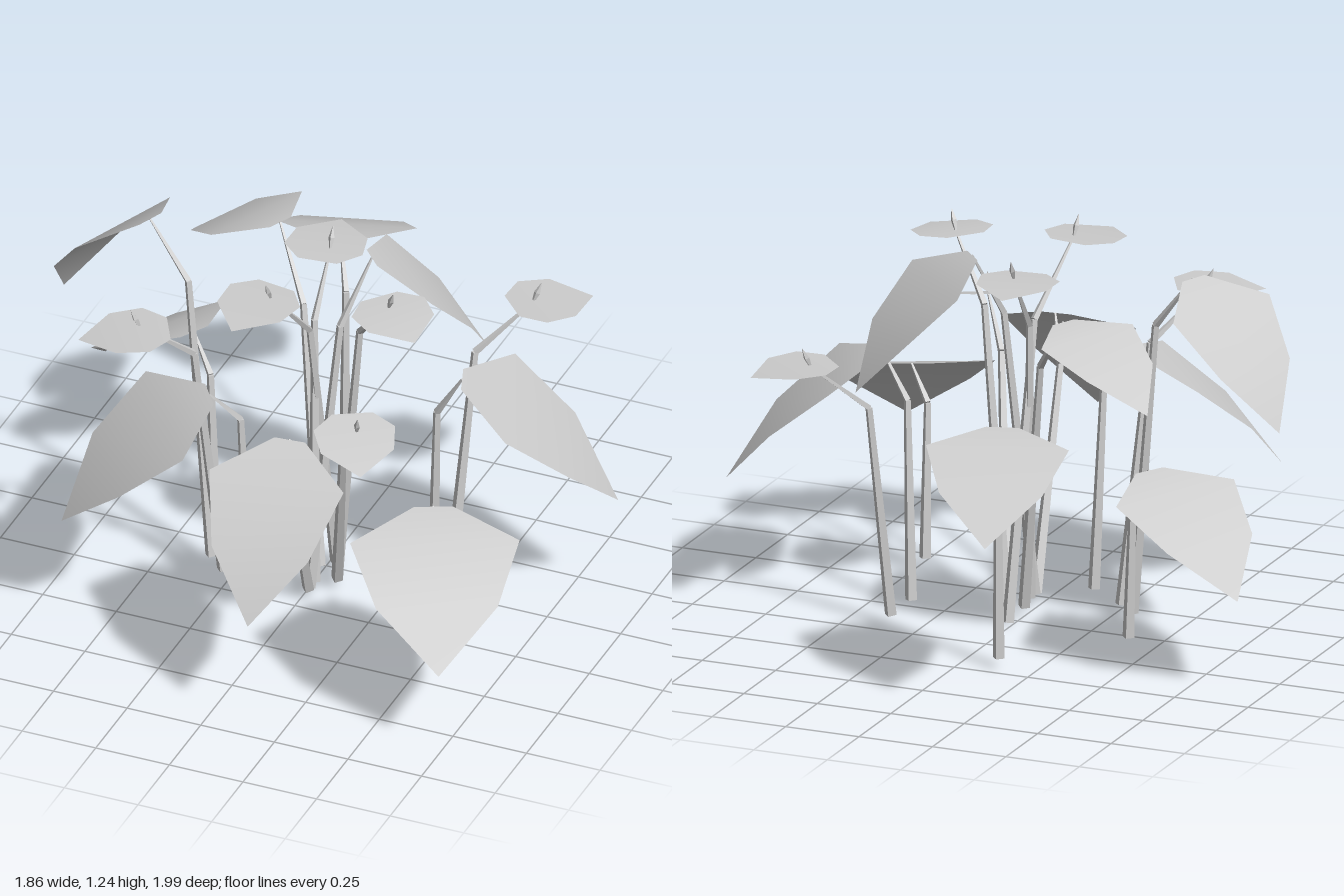
import * as THREE from 'three';

const stemMaterial = new THREE.MeshStandardMaterial({ color: 0xcccccc, flatShading: true });
const bladeMaterial = new THREE.MeshStandardMaterial({ color: 0xcccccc, side: THREE.DoubleSide });
const vec = (p) => new THREE.Vector3(...p);

// Blade outline rows: distance along the chord, bulge above it, half width (share of the widest)
const LEAF_ROWS = [[0, 0, 0.23], [0.24, 0.077, 1], [0.63, 0.082, 0.72]];
const SPATHE_ROWS = [[0, 0, 0.5], [0.25, 0.02, 1], [0.62, 0.03, 0.9]];

// Seven-sided blade, drooping from its base to its tip
function makeBlade(name, base, tip, halfWidth, rows) {
  const chord = tip.clone().sub(base);
  const length = chord.length();
  const side = chord.clone().cross(new THREE.Vector3(0, 1, 0)).normalize();
  const normal = side.clone().cross(chord).normalize();
  const points = [];
  for (const [s, bulge, width] of rows) {
    for (const sign of [-1, 1]) {
      points.push(base.clone().addScaledVector(chord, s)
        .addScaledVector(normal, bulge * length)
        .addScaledVector(side, sign * width * halfWidth));
    }
  }
  points.push(tip);
  const geometry = new THREE.BufferGeometry().setFromPoints(points);
  geometry.setIndex([0, 1, 3, 0, 3, 2, 2, 3, 5, 2, 5, 4, 4, 5, 6]);
  geometry.computeVertexNormals();
  const mesh = new THREE.Mesh(geometry, bladeMaterial);
  mesh.name = name;
  return mesh;
}

// Tapered four-sided rod between two points
function makeRod(name, from, to, r0, r1) {
  const dir = to.clone().sub(from);
  const mesh = new THREE.Mesh(new THREE.CylinderGeometry(r1, r0, dir.length(), 4), stemMaterial);
  mesh.position.copy(from).addScaledVector(dir, 0.5);
  mesh.quaternion.setFromUnitVectors(new THREE.Vector3(0, 1, 0), dir.normalize());
  mesh.name = name;
  return mesh;
}

// Stalk with one bend: thick lower part, thin neck
function addStem(group, root, knee, end) {
  group.add(makeRod('stemLower', root, knee, 0.02, 0.012));
  group.add(makeRod('stemNeck', knee, end, 0.012, 0.004));
}

// Leaves: stem root, stem bend, blade base, blade tip, half width
const LEAVES = [
  [[-0.13, 0.03, -0.45], [-0.13, 0.71, -0.46], [-0.19, 0.83, -0.56], [-0.32, 0.58, -1.0], 0.225],
  [[-0.42, 0.03, -0.1], [-0.44, 0.53, -0.11], [-0.53, 0.62, -0.19], [-0.93, 0.31, -0.42], 0.23],
  [[0, 0.03, 0.05], [-0.12, 0.88, -0.1], [-0.25, 1.08, -0.22], [-0.61, 0.87, -0.39], 0.19],
  [[-0.335, 0.03, 0.13], [-0.43, 1.0, 0.09], [-0.57, 1.18, 0.065], [-0.925, 0.76, -0.08], 0.21],
  [[-0.13, 0.03, 0.3], [-0.15, 0.7, 0.33], [-0.235, 0.8, 0.38], [-0.62, 0.395, 0.655], 0.265],
  [[0.02, 0.03, 0.19], [0.05, 0.7, 0.45], [0.115, 0.825, 0.56], [0.155, 0.395, 0.99], 0.22],
  [[0.475, 0.03, 0.37], [0.48, 0.53, 0.4], [0.56, 0.63, 0.46], [0.765, 0.31, 0.9], 0.265],
  [[0.35, 0.03, -0.03], [0.38, 0.67, 0.01], [0.47, 0.82, 0.02], [0.93, 0.39, -0.145], 0.26],
  [[0.02, 0.03, 0.18], [0.09, 0.97, 0.1], [0.155, 1.18, 0], [0.44, 0.77, -0.26], 0.215],
];

// Flowers: stem root, stem bend, spadix foot, spathe base, spathe tip
const FLOWERS = [
  [[0.02, 0.03, 0.14], [-0.01, 0.95, 0.07], [-0.01, 1.14, -0.055], [-0.02, 1.14, 0.025], [-0.05, 1.13, -0.24]],
  [[0.02, 0, -0.03], [0, 0.95, 0.13], [-0.05, 1.17, 0.325], [-0.06, 1.175, 0.255], [-0.1, 1.15, 0.52]],
  [[0.06, 0.03, 0.05], [0.165, 0.98, 0.12], [0.31, 1.17, 0.23], [0.26, 1.175, 0.19], [0.45, 1.145, 0.35]],
  [[0.08, 0.03, 0.1], [0.22, 0.74, 0.38], [0.32, 0.875, 0.51], [0.28, 0.9, 0.45], [0.4, 0.82, 0.665]],
  [[0.35, 0.03, -0.19], [0.39, 0.73, -0.27], [0.535, 0.88, -0.39], [0.49, 0.89, -0.33], [0.685, 0.865, -0.52]],
  [[-0.27, 0.03, 0.19], [-0.33, 0.87, 0.28], [-0.45, 1.02, 0.425], [-0.36, 1.03, 0.41], [-0.61, 1.005, 0.545]],
];

export function createModel() {
  const plant = new THREE.Group();
  plant.name = 'pottedPlantFoliage';

  for (const [root, knee, base, tip, halfWidth] of LEAVES) {
    const leaf = new THREE.Group();
    leaf.name = 'leaf';
    addStem(leaf, vec(root), vec(knee), vec(base));
    leaf.add(makeBlade('leafBlade', vec(base), vec(tip), halfWidth, LEAF_ROWS));
    plant.add(leaf);
  }

  for (const [root, knee, foot, base, tip] of FLOWERS) {
    const flower = new THREE.Group();
    flower.name = 'flower';
    addStem(flower, vec(root), vec(knee), vec(foot));
    flower.add(makeBlade('spathe', vec(base), vec(tip), 0.128, SPATHE_ROWS));

    // Spadix leaning towards the spathe tip, swollen in the middle
    const lean = vec(tip).sub(vec(base)).setY(0).setLength(0.03);
    const top = vec(foot).add(lean).add(new THREE.Vector3(0, 0.065, 0));
    const middle = vec(foot).lerp(top, 0.5);
    flower.add(makeRod('spadixLower', vec(foot), middle, 0.004, 0.01));
    flower.add(makeRod('spadixTip', middle, top, 0.01, 0.001));
    plant.add(flower);
  }
  return plant;
}
